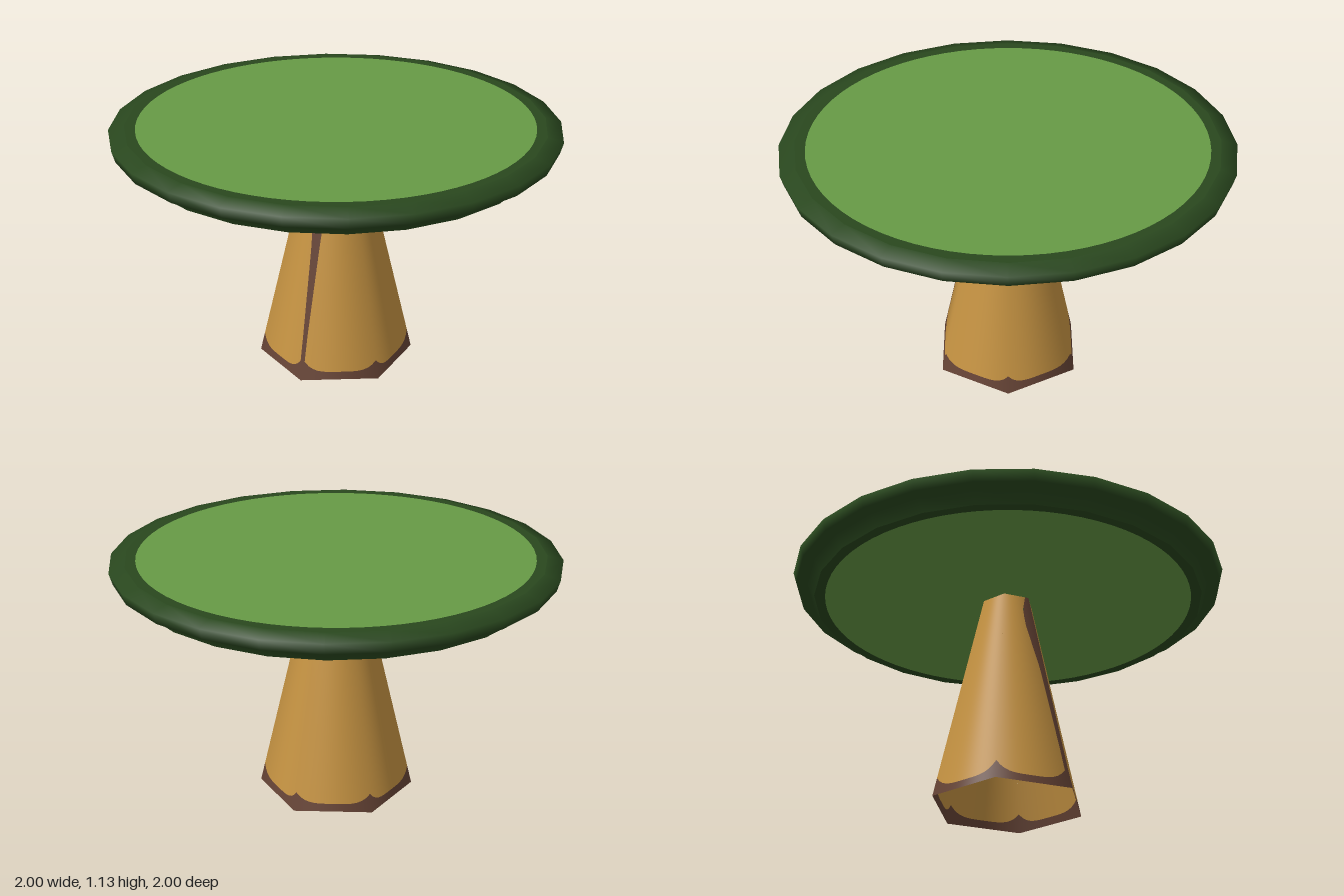
import * as THREE from 'three';

const material = (name, color, side = THREE.FrontSide) => {
  const m = new THREE.MeshStandardMaterial({ color, side });
  m.name = name;
  return m;
};

const BASE_R = 0.352, TOP_R = 0.12, STEM_H = 1.005, SIDES = 6;
const radiusAt = (y) => BASE_R + (TOP_R - BASE_R) * y;

// Point on the six-sided stem; a counts corners, starting at the front and going to +x
function stemPoint(a, y) {
  const k = Math.floor(a), f = a - k;
  const step = (Math.PI * 2) / SIDES;
  const x = Math.sin(k * step) * (1 - f) + Math.sin((k + 1) * step) * f;
  const z = Math.cos(k * step) * (1 - f) + Math.cos((k + 1) * step) * f;
  const r = radiusAt(y);
  return { p: [x * r, y, z * r], n: new THREE.Vector3(x, BASE_R - TOP_R, z).normalize() };
}

// Grid patch on the stem, at(s, t) returns [a, y] for s, t in 0..1
function stemPatch(cols, rows, at) {
  const pos = [], nor = [], idx = [];
  for (let j = 0; j <= rows; j++) {
    for (let i = 0; i <= cols; i++) {
      const { p, n } = stemPoint(...at(i / cols, j / rows));
      pos.push(...p);
      nor.push(n.x, n.y, n.z);
      if (i < cols && j < rows) {
        const q = j * (cols + 1) + i, u = q + cols + 1;
        idx.push(q, q + 1, u + 1, q, u + 1, u);
      }
    }
  }
  const g = new THREE.BufferGeometry();
  g.setAttribute('position', new THREE.Float32BufferAttribute(pos, 3));
  g.setAttribute('normal', new THREE.Float32BufferAttribute(nor, 3));
  g.setIndex(idx);
  return g;
}

// Height of the scalloped brown foot: low mid-face, rising at the corners
const footHeight = (s) => 0.035 + 0.05 * Math.pow(Math.abs(2 * s - 1), 4);

// Front crack outline: [y, left x, right x]
const CRACK = [[0, 0.014, 0.008], [0.2, 0.014, 0.009], [0.6, 0.02, 0.02],
  [0.85, 0.04, 0.03], [0.93, 0.035, 0.026], [1.02, 0.008, 0.022]];
function crackWidth(y, side) {
  let i = 0;
  while (i < CRACK.length - 2 && y > CRACK[i + 1][0]) i++;
  const [lo, hi] = [CRACK[i], CRACK[i + 1]];
  const x = THREE.MathUtils.lerp(lo[side], hi[side], (y - lo[0]) / (hi[0] - lo[0]));
  return x / (radiusAt(y) * Math.sin(Math.PI / 3));
}

// Position across side k at height y, leaving room for the crack beside the front corner
function acrossSide(k, s, y) {
  const lo = k === 0 ? crackWidth(y, 2) : 0;
  const hi = k === SIDES - 1 ? 1 - crackWidth(y, 1) : 1;
  return k + Math.min(lo + (hi - lo) * s, 0.99999);
}

// Flat 24-sided border around a round opening, facing up (dir 1) or down (dir -1)
function flatBorder(outer, inner, y, dir) {
  const corners = [];
  for (let i = 0; i < 24; i++) {
    const a = (i / 24) * Math.PI * 2;
    corners.push(new THREE.Vector2(Math.cos(a) * outer, Math.sin(a) * outer));
  }
  const shape = new THREE.Shape(corners);
  shape.holes.push(new THREE.Path().absarc(0, 0, inner, 0, Math.PI * 2, true));
  return new THREE.ShapeGeometry(shape, 36).rotateX(-dir * Math.PI / 2).translate(0, y, 0);
}

const flatDisc = (r, y, dir) =>
  new THREE.CircleGeometry(r, 72).rotateX(-dir * Math.PI / 2).translate(0, y, 0);

export function createModel() {
  const grass = material('bright green', 0x669a45);
  const rim = material('dark green', 0x29471e);
  const tan = material('tan wood', 0xc39141, THREE.DoubleSide);
  const brown = material('brown bark', 0x654335, THREE.DoubleSide);

  const model = new THREE.Group();
  const add = (parent, name, geometry, mat) => {
    const mesh = new THREE.Mesh(geometry, mat);
    mesh.name = name;
    parent.add(mesh);
  };

  // Round top: softly shaded rim, with a bordered disc above and below
  const top = new THREE.Group();
  top.name = 'roundTop';
  const profile = [[0.9, 1.0], [0.935, 1.06], [0.985, 1.06], [1.0, 1.11], [0.93, 1.13]]
    .map(([r, y]) => new THREE.Vector2(r, y));
  add(top, 'rim', new THREE.LatheGeometry(profile, 24), rim);
  add(top, 'topBorder', flatBorder(0.93, 0.88, 1.13, 1), rim);
  add(top, 'topSurface', flatDisc(0.88, 1.13, 1), grass);
  add(top, 'undersideBorder', flatBorder(0.9, 0.85, 1.0, -1), rim);
  add(top, 'underside', flatDisc(0.85, 1.0, -1), grass);
  model.add(top);

  // Hollow six-sided stem: a tan panel and a scalloped foot on each side
  const stem = new THREE.Group();
  stem.name = 'stem';
  for (let k = 0; k < SIDES; k++) {
    add(stem, 'stemPanel', stemPatch(16, 24, (s, t) => {
      const y = THREE.MathUtils.lerp(footHeight(s), STEM_H, t);
      return [acrossSide(k, s, y), y];
    }), tan);
    add(stem, 'stemFoot', stemPatch(16, 1, (s, t) => {
      const y = footHeight(s) * t;
      return [acrossSide(k, s, y), y];
    }), brown);
  }

  // Brown crack running up the front corner
  add(stem, 'stemCrack', stemPatch(2, 24, (s, t) => {
    const y = STEM_H * t;
    const a = s < 0.5 ? -crackWidth(y, 1) : s > 0.5 ? crackWidth(y, 2) : 0;
    return [a, y];
  }), brown);
  model.add(stem);

  return model;
}
